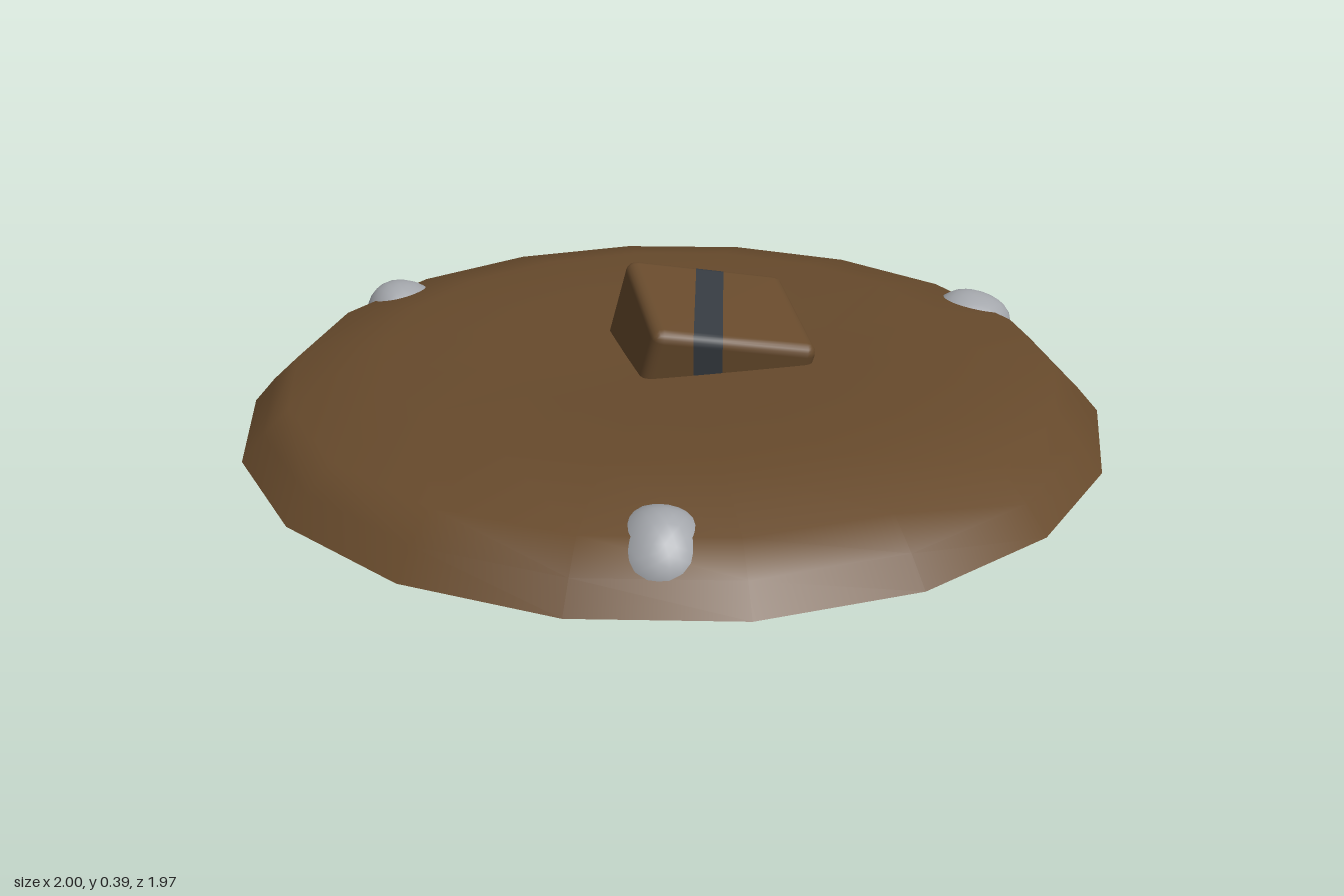
import * as THREE from 'three';
import { mergeVertices } from 'three/addons/utils/BufferGeometryUtils.js';
import { RoundedBoxGeometry } from 'three/addons/geometries/RoundedBoxGeometry.js';

const mat = (name, color) => new THREE.MeshStandardMaterial({ name, color });

// Keeps the part of a geometry between two planes of constant x, with its normals.
function sliceX(geometry, min, max) {
  const g = geometry.index ? geometry.toNonIndexed() : geometry;
  const p = g.attributes.position, n = g.attributes.normal;
  const clip = (poly, limit, sign) => {
    const out = [];
    poly.forEach((a, i) => {
      const b = poly[(i + 1) % poly.length];
      const da = sign * (a.p.x - limit), db = sign * (b.p.x - limit);
      if (da >= 0) out.push(a);
      if (da * db < 0) {
        const t = da / (da - db);
        out.push({ p: a.p.clone().lerp(b.p, t), n: a.n.clone().lerp(b.n, t).normalize() });
      }
    });
    return out;
  };
  const pos = [], nor = [];
  for (let i = 0; i < p.count; i += 3) {
    let poly = [0, 1, 2].map((k) => ({
      p: new THREE.Vector3().fromBufferAttribute(p, i + k),
      n: new THREE.Vector3().fromBufferAttribute(n, i + k),
    }));
    poly = clip(clip(poly, min, 1), max, -1);
    for (let k = 1; k + 1 < poly.length; k++) {
      for (const v of [poly[0], poly[k], poly[k + 1]]) {
        pos.push(...v.p.toArray());
        nor.push(...v.n.toArray());
      }
    }
  }
  const out = new THREE.BufferGeometry();
  out.setAttribute('position', new THREE.Float32BufferAttribute(pos, 3));
  out.setAttribute('normal', new THREE.Float32BufferAttribute(nor, 3));
  return out;
}

// Smooth, slightly lumpy pebble
function pebbleGeometry(seed) {
  let g = new THREE.IcosahedronGeometry(1, 4);
  g.deleteAttribute('normal');
  g.deleteAttribute('uv');
  g = mergeVertices(g);
  const p = g.attributes.position, v = new THREE.Vector3();
  for (let i = 0; i < p.count; i++) {
    v.fromBufferAttribute(p, i);
    const lump = 1 + 0.05 * Math.sin(3 * v.x + seed) * Math.cos(2.5 * v.z - seed) + 0.03 * Math.sin(4 * v.y + 2 * seed);
    v.multiplyScalar(lump);
    p.setXYZ(i, v.x, v.y, v.z);
  }
  g.computeVertexNormals();
  return g;
}

export function createModel() {
  const group = new THREE.Group();
  const earth = mat('earthBrown', 0x674a2c);
  const stone = mat('stoneGrey', 0xa3a6ab);
  const dark = mat('slateBand', 0x353a40);
  const add = (name, geometry, material) => {
    const mesh = new THREE.Mesh(geometry, material);
    mesh.name = name;
    group.add(mesh);
    return mesh;
  };

  // Mound: eighteen-sided, with a shallow dish in the top
  const profile = [[1, 0.07], [0.95, 0.127], [0.89, 0.183], [0.68, 0.23], [0.4, 0.216], [0, 0.21]]
    .map(([r, y]) => new THREE.Vector2(r, y));
  add('mound', new THREE.LatheGeometry(profile, 18, Math.PI / 2), earth);
  const base = add('moundBase', new THREE.CircleGeometry(1, 18), earth);
  base.rotation.x = Math.PI / 2;
  base.position.y = 0.07;

  // Pebbles set into the rim
  [[0, 0.83], [0.75, -0.41], [-0.72, -0.435]].forEach(([x, z], i) => {
    const pebble = add('pebble' + (i + 1), pebbleGeometry(i * 2 + 1), stone);
    pebble.scale.set(0.1, 0.095, 0.106);
    pebble.position.set(x, 0.124, z);
    pebble.rotation.y = Math.atan2(x, z);
  });

  // Half-buried tilted block
  const along = new THREE.Vector3(0.36, -0.075, -0.11).normalize();
  const up = new THREE.Vector3(0.248, 0.955, 0.161);
  up.addScaledVector(along, -up.dot(along)).normalize();
  const across = new THREE.Vector3().crossVectors(along, up);
  const pose = new THREE.Matrix4().makeBasis(along, up, across).setPosition(0.078, 0.199, -0.028);
  const block = new RoundedBoxGeometry(0.395, 0.27, 0.335, 2, 0.025).applyMatrix4(pose);

  // The band splits the block into three slices
  add('blockLeft', sliceX(block, 0.115, 1), earth);
  add('blockBand', sliceX(block, 0.05, 0.115), dark);
  add('blockRight', sliceX(block, -1, 0.05), earth);

  return group;
}
